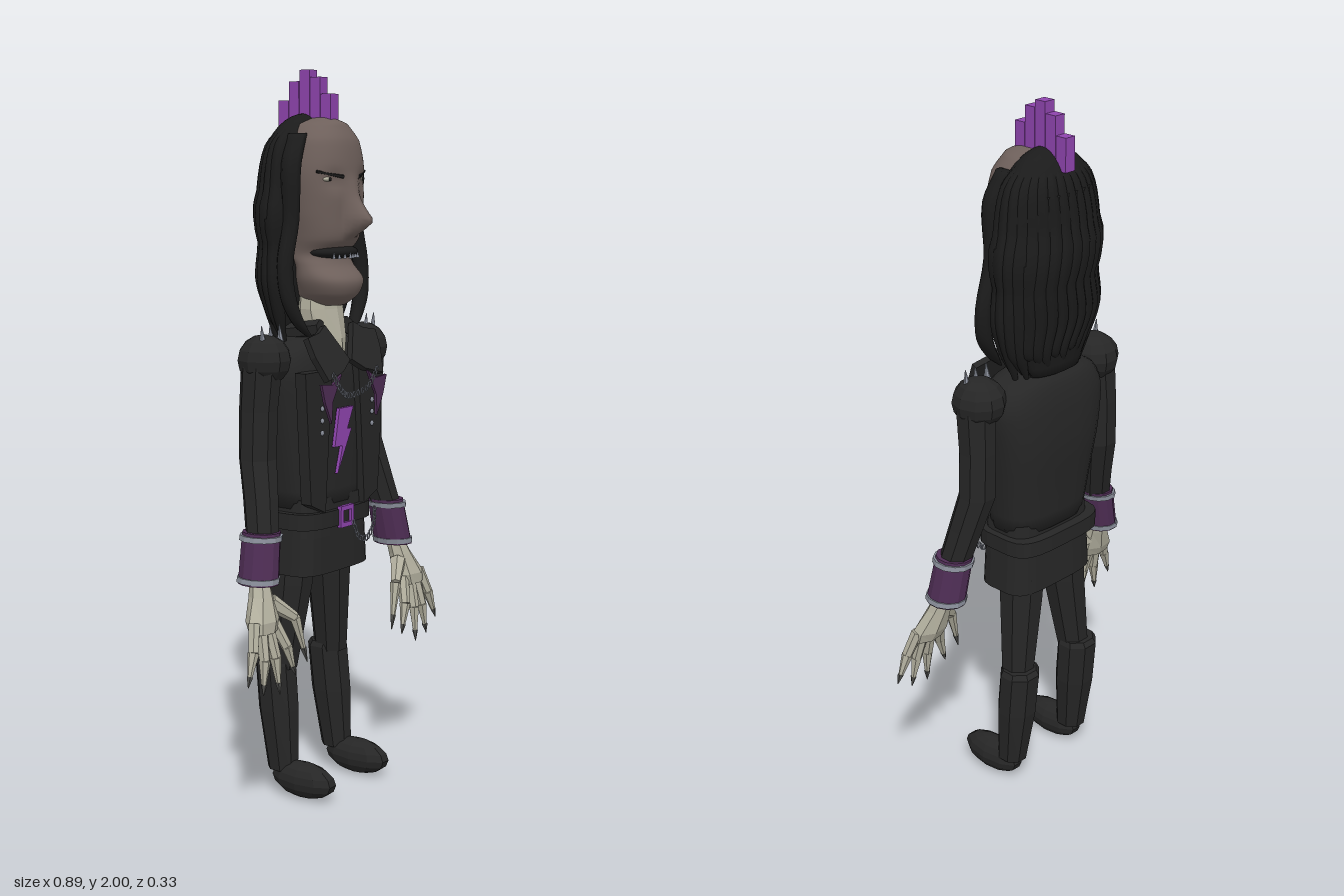
import * as THREE from 'three';

const mat = (name, color) => {
  const m = new THREE.MeshStandardMaterial({ color });
  m.name = name;
  return m;
};

export function createModel() {
  const root = new THREE.Group();
  const black = mat('black cloth', 0x262626), hairMat = mat('hair black', 0x1b1b1b);
  const skin = mat('grey skin', 0x6e605b), bone = mat('bone', 0xb2af9e);
  const purple = mat('purple', 0x8e44ad), plum = mat('dark plum', 0x4e2d54);
  const metal = mat('metal', 0x8b909c), nail = mat('nail grey', 0x4c4c4a);

  const add = (geo, material, name, parent = root) => {
    const m = new THREE.Mesh(geo, material);
    m.name = name;
    parent.add(m);
    return m;
  };
  const V = (a) => new THREE.Vector3(...a);

  // Closed skin over horizontal rings [x, y, z, rx, rz], listed from top to bottom
  function loft(rings, { n = 8, steps = 0, e = 2, flat = false, warp } = {}) {
    if (steps) {
      const c = new THREE.CatmullRomCurve3(rings.map((r) => V(r.slice(0, 3))));
      const w = new THREE.CatmullRomCurve3(rings.map((r) => V([r[3], r[4], 0])));
      rings = Array.from({ length: steps + 1 }, (_, i) => {
        const p = c.getPoint(i / steps), q = w.getPoint(i / steps);
        return [p.x, p.y, p.z, q.x, q.y];
      });
    }
    const pos = [], idx = [], pw = (v) => Math.sign(v) * Math.abs(v) ** (2 / e);
    for (const [x, y, z, rx, rz] of rings) {
      for (let j = 0; j < n; j++) {
        const a = ((j + 0.5) / n) * Math.PI * 2;
        const p = V([x + rx * pw(Math.cos(a)), y, z + rz * pw(Math.sin(a))]);
        if (warp) warp(p);
        pos.push(p.x, p.y, p.z);
      }
    }
    const last = (rings.length - 1) * n, top = rings.length * n;
    pos.push(...rings[0].slice(0, 3), ...rings[rings.length - 1].slice(0, 3));
    for (let j = 0; j < n; j++) {
      const k = (j + 1) % n;
      idx.push(top, k, j, top + 1, last + j, last + k);
      for (let o = 0; o < last; o += n) idx.push(o + j, o + k, o + n + j, o + k, o + n + k, o + n + j);
    }
    let g = new THREE.BufferGeometry();
    g.setAttribute('position', new THREE.Float32BufferAttribute(pos, 3));
    g.setIndex(idx);
    if (flat) g = g.toNonIndexed();
    g.computeVertexNormals();
    return g;
  }
  // Tapered rod between two points
  function rod(a, b, r0, r1, n, material, name, parent) {
    const A = V(a), d = V(b).sub(A);
    const g = new THREE.CylinderGeometry(r1, r0, d.length(), n).toNonIndexed();
    g.computeVertexNormals();
    const m = add(g, material, name, parent);
    m.position.copy(A).addScaledVector(d, 0.5);
    m.quaternion.setFromUnitVectors(new THREE.Vector3(0, 1, 0), d.normalize());
  }
  const plate = (pts, depth, s = 1) => new THREE.ExtrudeGeometry(
    new THREE.Shape(pts.map(([x, y]) => new THREE.Vector2(x * s, y))), { depth, bevelEnabled: false });
  function ball(p, r, scale, material, name, w = 12, h = 8, flat = false) {
    let g = new THREE.SphereGeometry(r, w, h);
    if (flat) { g = g.toNonIndexed(); g.computeVertexNormals(); }
    const m = add(g, material, name);
    m.position.set(...p);
    m.scale.set(...scale);
  }
  function chain(points, count, name) {
    const curve = new THREE.CatmullRomCurve3(points.map(V)), g = new THREE.Group();
    g.name = name;
    root.add(g);
    for (let i = 0; i <= count; i++) {
      const link = add(new THREE.TorusGeometry(0.008, 0.0022, 4, 8), metal, 'chainLink', g);
      link.position.copy(curve.getPoint(i / count));
      link.rotation.set(0, i % 2 ? 1.1 : 0.2, i * 0.5);
    }
  }

  // Head with a long pointed nose: nose height above the face by level
  const nose = [[1.72, 0], [1.66, 0.022], [1.625, 0.055], [1.6, 0.083], [1.575, 0.045], [1.55, 0]];
  const noseWarp = (p) => {
    if (p.z < 0.02) return;
    for (let i = 0; i < nose.length - 1; i++) {
      const [y0, h0] = nose[i], [y1, h1] = nose[i + 1];
      if (p.y <= y0 && p.y > y1) {
        const h = h0 + ((h1 - h0) * (y0 - p.y)) / (y0 - y1);
        p.z += h * Math.max(0, 1 - Math.abs(p.x) / 0.036);
      }
    }
    // eye sockets
    p.z -= 0.012 * Math.exp(-(((Math.abs(p.x) - 0.062) / 0.03) ** 2) - ((p.y - 1.705) / 0.022) ** 2);
  };
  const face = [[1.872, 0.02, 0.02], [1.855, 0.07, 0.055], [1.81, 0.105, 0.08], [1.72, 0.12, 0.092], [1.62, 0.112, 0.09],
    [1.55, 0.1, 0.083], [1.51, 0.092, 0.052], [1.48, 0.095, 0.06], [1.44, 0.097, 0.098], [1.4, 0.08, 0.09], [1.37, 0.045, 0.055]];
  add(loft(face.map(([y, w, f]) => {
    const b = y < 1.5 ? -0.07 : y > 1.86 ? -0.04 : -0.1;
    return [0, y, (f + b) / 2, w, (f - b) / 2];
  }), { n: 72, steps: 60, e: 2.2, warp: noseWarp }), skin, 'head');
  ball([0, 1.515, 0.02], 1, [0.087, 0.021, 0.064], hairMat, 'mouth', 20, 10);
  for (let i = -3; i <= 3; i++) {
    const t = add(new THREE.ConeGeometry(0.006, 0.018, 4), metal, 'tooth');
    t.position.set(i * 0.018, 1.507, 0.083 - Math.abs(i) * 0.005);
  }
  add(loft([[0, 1.44, -0.02, 0.062, 0.05], [0, 1.36, -0.018, 0.072, 0.057], [0, 1.28, -0.01, 0.062, 0.065],
    [0, 1.19, 0.02, 0.012, 0.045]], { n: 10, flat: true }), bone, 'neck');

  // Mohawk blocks, front to back
  [1.935, 1.98, 2, 1.97, 1.92].forEach((top, i) => {
    const b = add(new THREE.BoxGeometry(0.034, top - 1.83, 0.034), purple, 'mohawkBlock');
    b.position.set(0, (top + 1.83) / 2, 0.012 - i * 0.036);
  });

  // Hair: cap, back curtain and hanging wavy locks
  ball([0, 1.7, -0.068], 1, [0.163, 0.185, 0.097], hairMat, 'hairCap', 32, 20);
  add(loft([[0, 1.78, -0.08, 0.14, 0.08], [0, 1.6, -0.085, 0.155, 0.07], [0, 1.42, -0.095, 0.15, 0.055],
    [0, 1.28, -0.1, 0.09, 0.03]], { n: 28, steps: 16 }), hairMat, 'hairBack');
  const locks = 17;
  for (let i = 0; i < locks; i++) {
    const a = -1.7 + (3.4 * i) / (locks - 1), sx = Math.sin(a), cz = -Math.cos(a);
    const k = (i * 7) % 5, end = 1.25 + 0.012 * k + (Math.abs(a) < 1 ? 0.02 : 0);
    const at = (y, rx, rz, r, wave) => [sx * rx + wave * Math.cos(a), y, -0.062 + cz * rz, r, r * 0.85];
    add(loft([at(1.855, 0.075, 0.045, 0.012, 0), at(1.8, 0.125, 0.075, 0.024, 0.004), at(1.68, 0.147, 0.086, 0.028, -0.006),
      at(1.54, 0.152, 0.088, 0.028, 0.01), at(1.44, 0.162, 0.083, 0.025, -0.008), at(1.35, 0.14, 0.07, 0.02, 0.008),
      at(end, 0.11, 0.055, 0.004, -0.01)], { n: 8, steps: 24 }), hairMat, 'hairLock');
  }
  for (const s of [-1, 1]) {
    const w = s > 0 ? 0.012 : 0;
    add(loft([[s * 0.1, 1.83, -0.02, 0.02, 0.03], [s * 0.14, 1.75, -0.01, 0.024, 0.03], [s * 0.143, 1.6, -0.01, 0.022, 0.025],
      [s * (0.165 + w), 1.48, -0.012, 0.025, 0.022], [s * (0.157 + w), 1.39, -0.005, 0.024, 0.022],
      [s * 0.125, 1.32, 0.008, 0.016, 0.018], [s * 0.085, 1.28, 0.02, 0.004, 0.005]], { n: 8, steps: 24 }), hairMat, 'frontLock');
  }

  // Jacket body, skirt and belt
  add(loft([[0, 1.285, -0.05, 0.09, 0.06], [0, 1.255, -0.05, 0.165, 0.085], [0, 1.19, -0.05, 0.195, 0.1], [0, 1.08, -0.05, 0.182, 0.103],
    [0, 0.95, -0.042, 0.163, 0.096], [0, 0.82, -0.035, 0.145, 0.088]], { n: 24, e: 2.8, steps: 14 }), black, 'jacketBody');
  add(loft([[0, 0.845, -0.033, 0.142, 0.085], [0, 0.74, -0.033, 0.15, 0.09], [0, 0.635, -0.033, 0.157, 0.092]],
    { n: 24, e: 4, flat: true }), black, 'tunicSkirt');
  add(loft([[0, 0.81, -0.04, 0.165, 0.108], [0, 0.765, -0.04, 0.165, 0.108]], { n: 24, e: 4, flat: true }), black, 'belt');

  // Square buckle ring
  const sq = (h) => [[-h, -h], [h, -h], [h, h], [-h, h]].map((p) => new THREE.Vector2(...p));
  const ring = new THREE.Shape(sq(0.03));
  ring.holes.push(new THREE.Path(sq(0.017)));
  add(new THREE.ExtrudeGeometry(ring, { depth: 0.012, bevelEnabled: false }), purple, 'buckle').position.set(0, 0.788, 0.064);

  // Lightning bolt on the chest
  add(plate([[-0.025, 1.09], [0.04, 1.09], [0.012, 1.03], [0.032, 1.03], [-0.032, 0.91], [-0.01, 0.985], [-0.046, 0.985]], 0.01),
    purple, 'chestBolt').position.z = 0.056;

  chain([[-0.1, 1.19, 0.102], [-0.06, 1.145, 0.1], [0, 1.125, 0.085], [0.06, 1.145, 0.1], [0.1, 1.19, 0.102]], 18, 'necklace');
  chain([[0.03, 0.765, 0.075], [0.055, 0.72, 0.075], [0.1, 0.71, 0.072], [0.145, 0.745, 0.062], [0.158, 0.78, 0.055]], 15, 'hipChain');

  for (const s of [-1, 1]) {
    const P = (x, y, z) => [s * x, y, z];
    const R = (x, ...r) => [s * x, ...r];

    // Eye and brow
    ball(P(0.075, 1.71, 0.06), 0.014, [1.2, 0.5, 0.8], bone, 'eye');
    ball(P(0.075, 1.71, 0.07), 0.005, [1, 1, 0.8], hairMat, 'pupil');
    rod(P(0.035, 1.716, 0.085), P(0.108, 1.73, 0.05), 0.006, 0.004, 5, hairMat, 'brow');

    // Jacket front panel, collar flap and lapel patch
    add(plate([[0.06, 1.2], [0.18, 1.2], [0.155, 0.84], [0.09, 0.81], [0.075, 1.02]], 0.035, s), black, 'frontPanel').position.z = 0.033;
    const flap = add(plate([[0.004, -0.09], [0.065, 0.015], [0.1, -0.005], [0.155, -0.015], [0.15, -0.07], [0.125, -0.14], [0.05, -0.12]],
      0.018, s), black, 'collarFlap');
    flap.position.set(0, 1.3, 0.035);
    flap.rotation.x = -0.4;
    add(plate([[0.06, 1.19], [0.1, 1.165], [0.15, 1.17], [0.135, 1.12], [0.105, 1.06], [0.1, 1.12]], 0.008, s),
      plum, 'lapelPatch').position.z = 0.092;
    rod(P(0.06, 1.31, 0.03), P(0.07, 1.29, -0.1), 0.025, 0.025, 6, black, 'collarSide');
    for (let i = 0; i < 3; i++) ball(P(0.115, 1.1 - i * 0.033, 0.075), 0.008, [1, 1, 0.6], metal, 'panelStud', 6, 4);

    // Shoulder pad with spikes
    ball(P(0.223, 1.235, -0.037), 0.072, [1, 0.95, 1.05], black, 'shoulderPad', 10, 8, true);
    [0.175, 0.215, 0.25].forEach((x) => rod(P(x, 1.28, -0.02), P(x + 0.005, 1.328, -0.02), 0.01, 0.001, 6, metal, 'shoulderSpike'));

    // Sleeve, cuff and cuff bands
    add(loft([R(0.235, 1.22, -0.037, 0.055, 0.058), R(0.24, 1.1, -0.045, 0.05, 0.055), R(0.243, 0.97, -0.045, 0.052, 0.053),
      R(0.263, 0.87, -0.02, 0.047, 0.05), R(0.285, 0.77, 0.003, 0.043, 0.047)], { n: 8, flat: true }), black, 'sleeve');
    add(loft([R(0.287, 0.785, 0.002, 0.048, 0.055), R(0.314, 0.65, 0.012, 0.05, 0.059)], { n: 12, flat: true }), plum, 'cuff');
    for (const [x, y, z] of [[0.289, 0.777, 0.003], [0.311, 0.668, 0.011]])
      add(loft([R(x, y, z, 0.053, 0.062), R(x + 0.003, y - 0.014, z, 0.053, 0.062)], { n: 12, flat: true }), metal, 'cuffBand');

    // Bony hand with long clawed fingers
    add(loft([R(0.316, 0.66, 0.018, 0.026, 0.028), R(0.325, 0.62, 0.03, 0.035, 0.032), R(0.342, 0.56, 0.048, 0.056, 0.038),
      R(0.347, 0.53, 0.055, 0.05, 0.03)], { n: 7, flat: true }), bone, 'palm');
    const fingers = [[[0.3, 0.6, 0.04], [0.238, 0.55, 0.075], [0.2, 0.42, 0.088]], [[0.305, 0.55, 0.055], [0.28, 0.48, 0.08], [0.252, 0.395, 0.088]],
      [[0.333, 0.54, 0.06], [0.327, 0.46, 0.08], [0.322, 0.36, 0.09]], [[0.36, 0.54, 0.06], [0.37, 0.46, 0.078], [0.385, 0.37, 0.085]],
      [[0.385, 0.56, 0.055], [0.41, 0.49, 0.072], [0.442, 0.405, 0.08]]];
    fingers.forEach(([a, b, c], i) => {
      const d = b.map((v, k) => v + (c[k] - v) * 0.68);
      rod(P(...a), P(...b), i ? 0.017 : 0.024, 0.015, 6, bone, 'fingerBase');
      rod(P(...b), P(...d), 0.016, 0.007, 6, bone, 'fingerEnd');
      rod(P(...d), P(...c), 0.009, 0.001, 5, nail, 'claw');
    });

    // Leg, boot and foot
    add(loft([R(0.082, 0.68, -0.055, 0.066, 0.068), R(0.088, 0.6, -0.057, 0.064, 0.064), R(0.117, 0.36, -0.07, 0.046, 0.048)],
      { n: 8, flat: true }), black, 'trouserLeg');
    add(loft([R(0.12, 0.385, -0.082, 0.052, 0.05), R(0.121, 0.37, -0.084, 0.06, 0.058), R(0.123, 0.24, -0.072, 0.057, 0.058),
      R(0.126, 0.07, -0.055, 0.04, 0.045)], { n: 8, flat: true }), black, 'boot');
    ball(P(0.127, 0.05, 0.02), 1, [0.047, 0.05, 0.106], black, 'foot', 10, 8, true);
  }
  return root;
}
